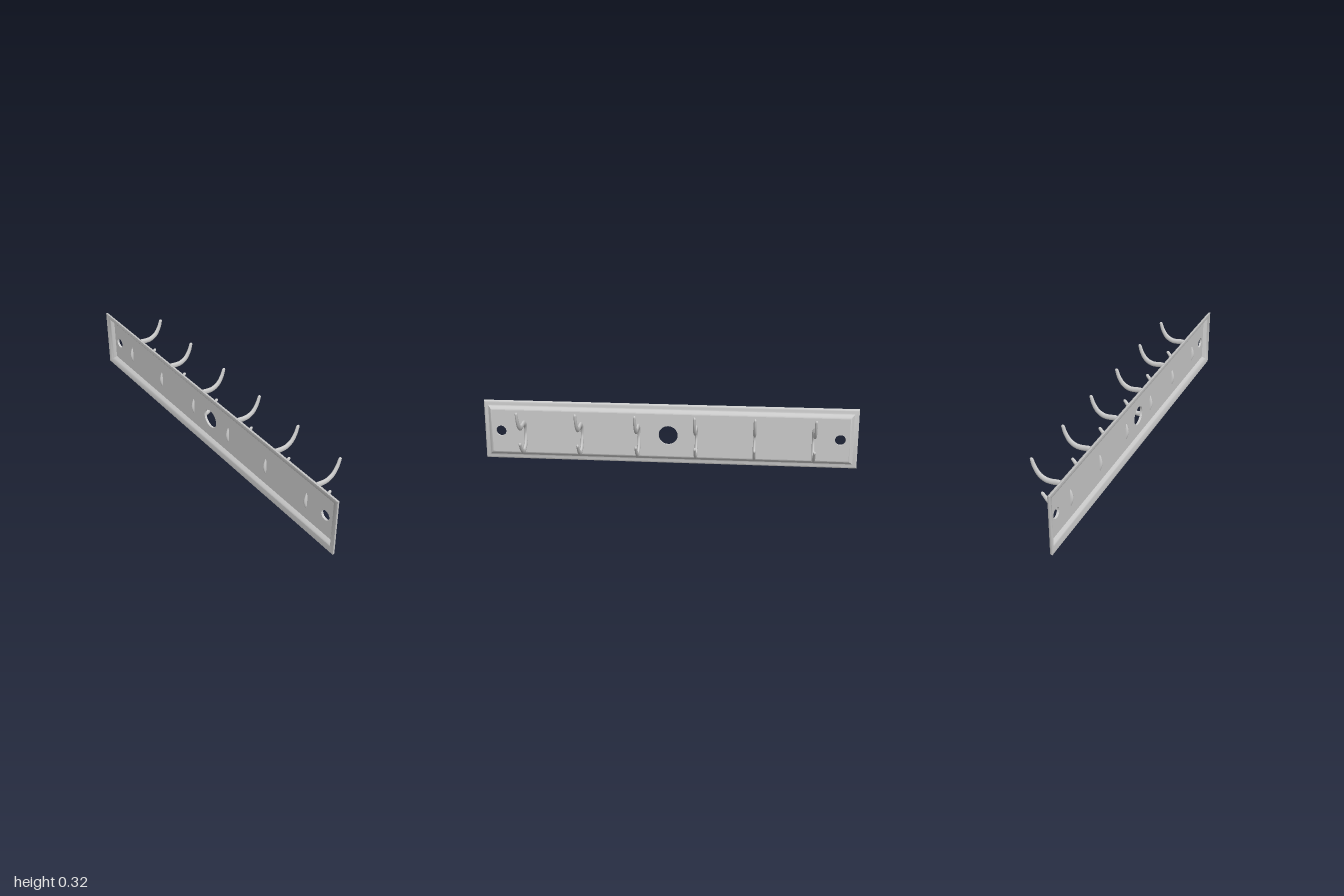
import * as THREE from 'three';
import { toCreasedNormals } from 'three/addons/utils/BufferGeometryUtils.js';

const H = 0.325;            // plate height
const FRONT = -0.08, BACK = -0.092;   // faces of the centre panel
const INSET = 0.047;        // width of the moulded border
const material = new THREE.MeshStandardMaterial({ color: 0xcccccc, side: THREE.DoubleSide });

// Moulding section [inset, depth], from the hollow back round the lip to the front
const moulding = [
  [INSET, BACK], [0.042, -0.097], [0.034, -0.105], [0.028, -0.109], [0.012, -0.115],
  [0, -0.115], [0.001, -0.106], [0.004, -0.102], [0.010, -0.1], [0.021, -0.099],
  [0.026, -0.097], [0.031, -0.091], [0.037, -0.086], [0.042, -0.082], [INSET, FRONT],
];

// Mitred rectangular frame swept from the moulding section
function frameGeometry() {
  const corner = ([d, w], s) => [
    s === 1 || s === 2 ? 1 - d : d - 1,
    s >= 2 ? H - d : d,
    w,
  ];
  const pos = [];
  for (let k = 0; k < moulding.length - 1; k++) {
    for (let s = 0; s < 4; s++) {
      const n = (s + 1) % 4;
      const a = corner(moulding[k], s), b = corner(moulding[k], n);
      const c = corner(moulding[k + 1], n), d = corner(moulding[k + 1], s);
      pos.push(...a, ...b, ...c, ...a, ...c, ...d);
    }
  }
  const g = new THREE.BufferGeometry();
  g.setAttribute('position', new THREE.Float32BufferAttribute(pos, 3));
  return toCreasedNormals(g, 0.75);
}

// Flat centre panel with one large and two small holes
function panelGeometry() {
  const e = 1 - INSET;
  const shape = new THREE.Shape([
    new THREE.Vector2(-e, INSET), new THREE.Vector2(e, INSET),
    new THREE.Vector2(e, H - INSET), new THREE.Vector2(-e, H - INSET),
  ]);
  for (const [u, r] of [[-0.905, 0.028], [0, 0.051], [0.905, 0.028]]) {
    shape.holes.push(new THREE.Path().absarc(u, 0.163, r, 0, Math.PI * 2, true));
  }
  const g = new THREE.ExtrudeGeometry(shape, { depth: FRONT - BACK, bevelEnabled: false, curveSegments: 20 });
  g.translate(0, 0, BACK);
  return toCreasedNormals(g, 0.6);
}

// Double hook: flattened tapering bar with rounded tips
function hookGeometry() {
  const path = new THREE.CatmullRomCurve3([
    [0.104, 0.311], [0.092, 0.275], [0.066, 0.235], [0.032, 0.217], [0, 0.216],
    [-0.037, 0.22], [-0.073, 0.203], [-0.09, 0.158], [-0.081, 0.122], [-0.06, 0.09],
    [-0.022, 0.072], [0.021, 0.092], [0.056, 0.132],
  ].map(([x, y]) => new THREE.Vector3(x, y, 0)), false, 'centripetal');
  const STEPS = 64, SIDES = 14, CAP = 4, TIP = 0.0095;

  // Stations: [position on path, push along tangent, section scale]
  const stations = [];
  for (let i = 0; i < CAP; i++) {
    const a = (i / CAP) * Math.PI / 2;
    stations.push([0, -TIP * Math.cos(a), Math.max(Math.sin(a), 0.001)]);
  }
  for (let i = 0; i <= STEPS; i++) stations.push([i / STEPS, 0, 1]);
  for (let i = CAP - 1; i >= 0; i--) {
    const a = (i / CAP) * Math.PI / 2;
    stations.push([1, TIP * Math.cos(a), Math.max(Math.sin(a), 0.001)]);
  }

  const pos = [], index = [];
  stations.forEach(([t, push, scale], i) => {
    const p = path.getPointAt(t), tan = path.getTangentAt(t);
    p.addScaledVector(tan, push);
    const full = Math.min(1, Math.min(t, 1 - t) / 0.22);
    const r = (TIP + 0.006 * full) * scale;
    const h = (0.007 + 0.0015 * full) * scale;
    for (let j = 0; j < SIDES; j++) {
      const a = (j / SIDES) * Math.PI * 2;
      pos.push(p.x - tan.y * Math.cos(a) * r, p.y + tan.x * Math.cos(a) * r, Math.sin(a) * h);
      if (i < stations.length - 1) {
        const n = (j + 1) % SIDES, q = i * SIDES;
        index.push(q + j, q + n, q + SIDES + n, q + j, q + SIDES + n, q + SIDES + j);
      }
    }
  });
  const g = new THREE.BufferGeometry();
  g.setAttribute('position', new THREE.Float32BufferAttribute(pos, 3));
  g.setIndex(index);
  g.computeVertexNormals();
  return g;
}

export function createModel() {
  const model = new THREE.Group();
  model.name = 'hookRack';
  const add = (parent, geometry, name) => {
    const mesh = new THREE.Mesh(geometry, material);
    mesh.name = name;
    parent.add(mesh);
    return mesh;
  };

  // Backplate, turned so its face looks along +x
  const plate = new THREE.Group();
  plate.name = 'backplate';
  plate.rotation.y = Math.PI / 2;
  add(plate, frameGeometry(), 'mouldedBorder');
  add(plate, panelGeometry(), 'centrePanel');
  model.add(plate);

  // Row of six hooks
  const hook = hookGeometry();
  for (let i = 0; i < 6; i++) {
    add(model, hook, `hook${i + 1}`).position.z = 0.77 - i * 0.307;
  }
  return model;
}
